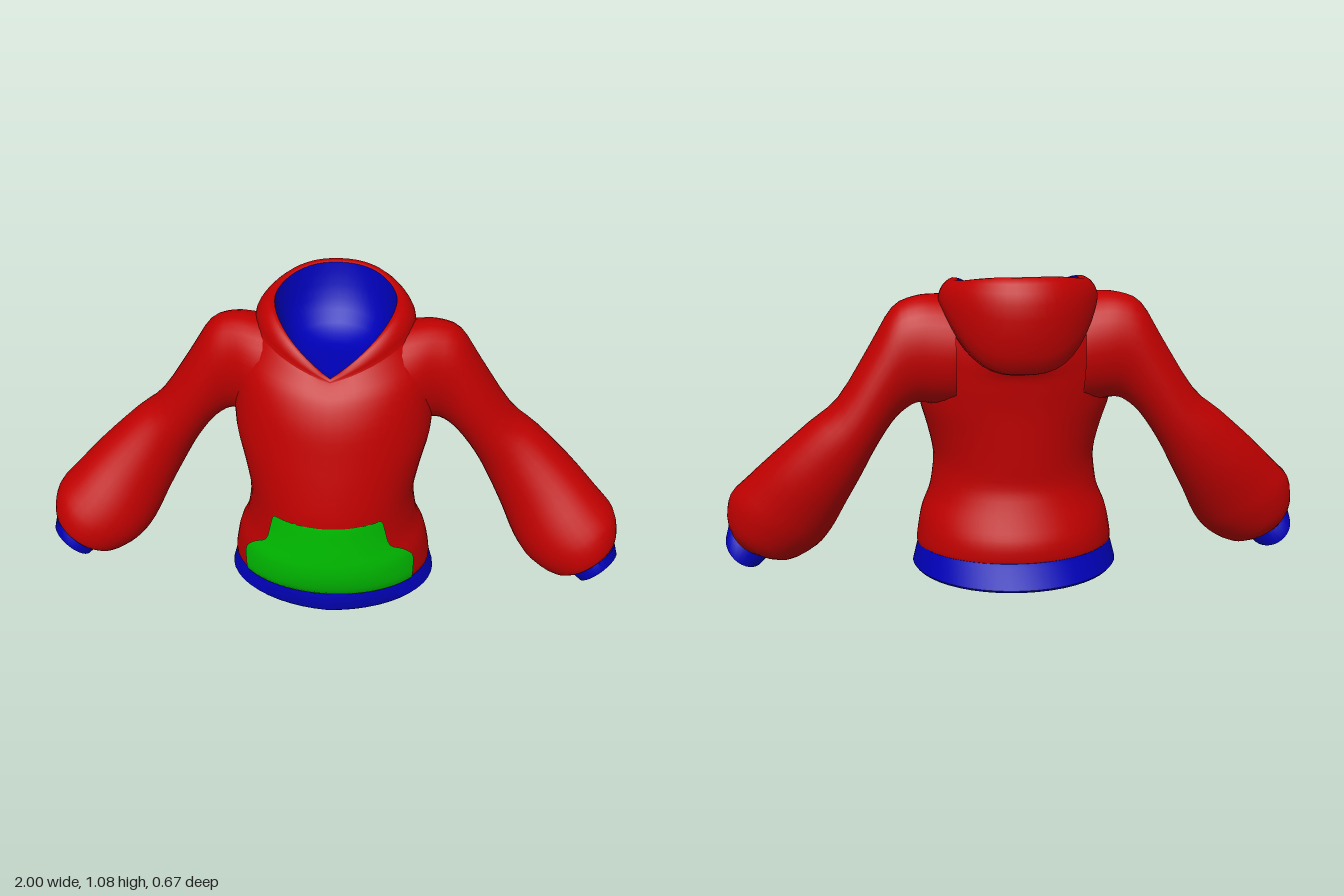
import * as THREE from 'three';
import { toCreasedNormals } from 'three/addons/utils/BufferGeometryUtils.js';

const SEG = 48;
const lerp = THREE.MathUtils.lerp;

// Skin a list of rings (arrays of points); closed rings wrap round
function loft(rings, closed = true) {
  const n = rings[0].length, pos = [], idx = [];
  rings.forEach(r => r.forEach(p => pos.push(p.x, p.y, p.z)));
  for (let i = 0; i < rings.length - 1; i++) {
    for (let j = 0; j < (closed ? n : n - 1); j++) {
      const a = i * n + j, b = i * n + (j + 1) % n;
      idx.push(a, b, a + n, b, b + n, a + n);
    }
  }
  const g = new THREE.BufferGeometry();
  g.setAttribute('position', new THREE.Float32BufferAttribute(pos, 3));
  g.setIndex(idx);
  g.computeVertexNormals();
  return g;
}

// Catmull-Rom subdivision of rows of numbers
function refine(rows, steps) {
  const out = [], last = rows.length - 1;
  for (let i = 0; i < last; i++) {
    const p = rows[Math.max(i - 1, 0)], a = rows[i], b = rows[i + 1], q = rows[Math.min(i + 2, last)];
    for (let k = 0; k < steps; k++) {
      const t = k / steps;
      out.push(a.map((v, c) => v + 0.5 * t * (b[c] - p[c] +
        t * (2 * p[c] - 5 * v + 4 * b[c] - q[c] + t * (3 * (v - b[c]) + q[c] - p[c])))));
    }
  }
  out.push(rows[last]);
  return out;
}

// Body row: half width, z front, z middle, z back, y front, y side, y back
function bodyPoint([w, zf, zm, zb, yf, ys, yb], a) {
  const s = Math.sin(a), c = Math.cos(a), m = Math.abs(s);
  const y = c > 0 ? lerp(ys, yf, 1 - m) : lerp(ys, yb, 1 - m ** 3);
  return new THREE.Vector3(w * s, y, zm + c * (c > 0 ? zf - zm : zm - zb));
}
const bodyRing = row => Array.from({ length: SEG }, (_, j) => bodyPoint(row, j / SEG * Math.PI * 2));
const level = (w, zf, zm, zb, y) => [w, zf, zm, zb, y, y, y];

// Sleeve row: upper x, y, lower x, y, z front, z back, forward tilt; side is +1 or -1
const sleeveRing = ([ux, uy, lx, ly, zf, zb, tilt], side) => Array.from({ length: 32 }, (_, j) => {
  const a = j / 32 * Math.PI * 2, c = Math.cos(a), s = Math.sin(a) * side;
  return new THREE.Vector3(side * ((ux + lx) / 2 + c * (ux - lx) / 2 - 0.65 * tilt * s),
    (uy + ly) / 2 + c * (uy - ly) / 2 + 0.76 * tilt * s, (zf + zb) / 2 + s * (zf - zb) / 2);
});

export function createModel() {
  const group = new THREE.Group();
  const material = (name, color) => {
    const m = new THREE.MeshStandardMaterial({ color });
    m.name = name;
    return m;
  };
  const red = material('red fabric', 0xc00000);
  const blue = material('blue trim', 0x0000b8);
  const green = material('green pocket', 0x00c000);
  const add = (name, geo, mat) => {
    const m = new THREE.Mesh(geo, mat);
    m.name = name;
    group.add(m);
  };

  // Torso from hem to neckline
  const neck = [0.265, 0.165, -0.07, -0.20, 0.872, 0.975, 0.75];
  const torso = refine([
    level(0.325, 0.275, 0.06, -0.215, 0.075),
    level(0.342, 0.305, 0.06, -0.232, 0.10),
    level(0.335, 0.325, 0.06, -0.23, 0.16),
    level(0.322, 0.333, 0.065, -0.205, 0.22),
    level(0.297, 0.333, 0.07, -0.18, 0.28),
    level(0.285, 0.331, 0.07, -0.162, 0.34),
    level(0.28, 0.328, 0.07, -0.165, 0.42),
    level(0.30, 0.31, 0.05, -0.17, 0.52),
    [0.328, 0.285, 0.02, -0.175, 0.63, 0.63, 0.60],
    [0.332, 0.258, -0.01, -0.183, 0.74, 0.75, 0.67],
    [0.325, 0.22, -0.03, -0.188, 0.82, 0.85, 0.715],
    [0.30, 0.185, -0.055, -0.193, 0.857, 0.92, 0.735],
    neck,
  ], 3);
  add('torso', loft(torso.map(bodyRing)), red);

  // Folded hood and its lining
  const rim = [0.20, 0.152, -0.08, -0.265, 0.882, 1.043, 1.075];
  add('hood', loft(refine([
    neck,
    [0.263, 0.164, -0.08, -0.28, 0.873, 0.99, 0.765],
    [0.259, 0.163, -0.08, -0.32, 0.875, 1.005, 0.83],
    [0.251, 0.162, -0.08, -0.335, 0.877, 1.02, 0.95],
    [0.237, 0.159, -0.08, -0.32, 0.879, 1.036, 1.035],
    [0.218, 0.155, -0.08, -0.285, 0.881, 1.046, 1.079],
    rim,
  ], 2).map(bodyRing)), red);
  add('hoodLining', loft(refine([
    rim,
    [0.188, 0.135, -0.08, -0.25, 0.872, 0.98, 1.0],
    [0.16, 0.10, -0.08, -0.215, 0.86, 0.91, 0.92],
    level(0.10, 0.03, -0.07, -0.15, 0.86),
    level(0, -0.07, -0.07, -0.07, 0.85),
  ], 2).map(bodyRing)), blue);

  // Waistband with a lip underneath, and the closed underside
  add('waistband', toCreasedNormals(loft([
    level(0.30, 0.24, 0.05, -0.20, 0.07),
    [0.32, 0.255, 0.05, -0.238, 0.004, 0.02, 0.016],
    [0.35, 0.285, 0.05, -0.27, 0, 0.016, 0.013],
    [0.358, 0.292, 0.05, -0.276, 0.008, 0.026, 0.022],
    level(0.343, 0.286, 0.05, -0.242, 0.085),
    level(0.338, 0.28, 0.05, -0.234, 0.102),
    level(0.31, 0.25, 0.05, -0.21, 0.102),
  ].map(bodyRing)), 0.8), blue);
  add('underside', loft([level(0, 0.05, 0.05, 0.05, 0.05),
    level(0.31, 0.25, 0.05, -0.22, 0.05)].map(bodyRing)), red);

  // Front pocket hugging the torso: rows of y and half width
  const pocketRows = refine([[0.088, 0.285], [0.15, 0.288], [0.205, 0.283], [0.25, 0.25],
    [0.29, 0.208], [0.35, 0.192], [0.395, 0.182], [0.406, 0.172]], 3);
  add('pocket', loft(pocketRows.map(([y, half]) => {
    const i = torso.findIndex(r => r[4] > y), lo = torso[i - 1], hi = torso[i];
    const row = lo.map((v, c) => lerp(v, hi[c], (y - lo[4]) / (hi[4] - lo[4])));
    const edge = Math.asin(half / row[0]);
    row[0] += 0.004;
    row[1] += 0.004;
    return Array.from({ length: 33 }, (_, j) => bodyPoint(row, edge * (j / 16 - 1)));
  }), false), green);

  // Sleeves, widening into the chest, and forward-facing cuffs
  const sleeve = refine([
    [0.215, 0.985, 0.21, 0.61, 0.13, -0.183, 0],
    [0.27, 0.99, 0.28, 0.62, 0.105, -0.18, 0],
    [0.34, 0.987, 0.33, 0.63, 0.07, -0.175, 0],
    [0.415, 0.952, 0.37, 0.615, 0.052, -0.172, 0],
    [0.49, 0.83, 0.42, 0.57, 0.048, -0.175, 0],
    [0.60, 0.655, 0.48, 0.48, 0.04, -0.18, 0],
    [0.70, 0.57, 0.53, 0.385, 0.05, -0.178, 0],
    [0.82, 0.46, 0.585, 0.28, 0.095, -0.165, 0],
    [0.92, 0.36, 0.635, 0.18, 0.15, -0.14, 0],
    [0.975, 0.30, 0.69, 0.11, 0.178, -0.12, 0],
    [0.992, 0.225, 0.775, 0.062, 0.18, -0.08, 0.012],
    [0.982, 0.18, 0.845, 0.075, 0.16, -0.01, 0.025],
  ], 3);
  const cuff = [
    [0.97, 0.195, 0.835, 0.10, 0.155, 0, 0.025],
    [0.988, 0.185, 0.838, 0.083, 0.167, -0.012, 0.027],
    [0.999, 0.14, 0.88, 0.039, 0.165, -0.012, 0.032],
    [0.985, 0.132, 0.895, 0.054, 0.149, 0.006, 0.03],
    [0.962, 0.165, 0.875, 0.088, 0.143, 0.012, 0.028],
    [0.918, 0.126, 0.918, 0.126, 0.078, 0.078, 0],
  ];
  for (const [name, side] of [['left', 1], ['right', -1]]) {
    add(name + 'Sleeve', loft(sleeve.map(r => sleeveRing(r, side))), red);
    add(name + 'Cuff', toCreasedNormals(loft(cuff.map(r => sleeveRing(r, side))), 0.8), blue);
  }
  return group;
}
